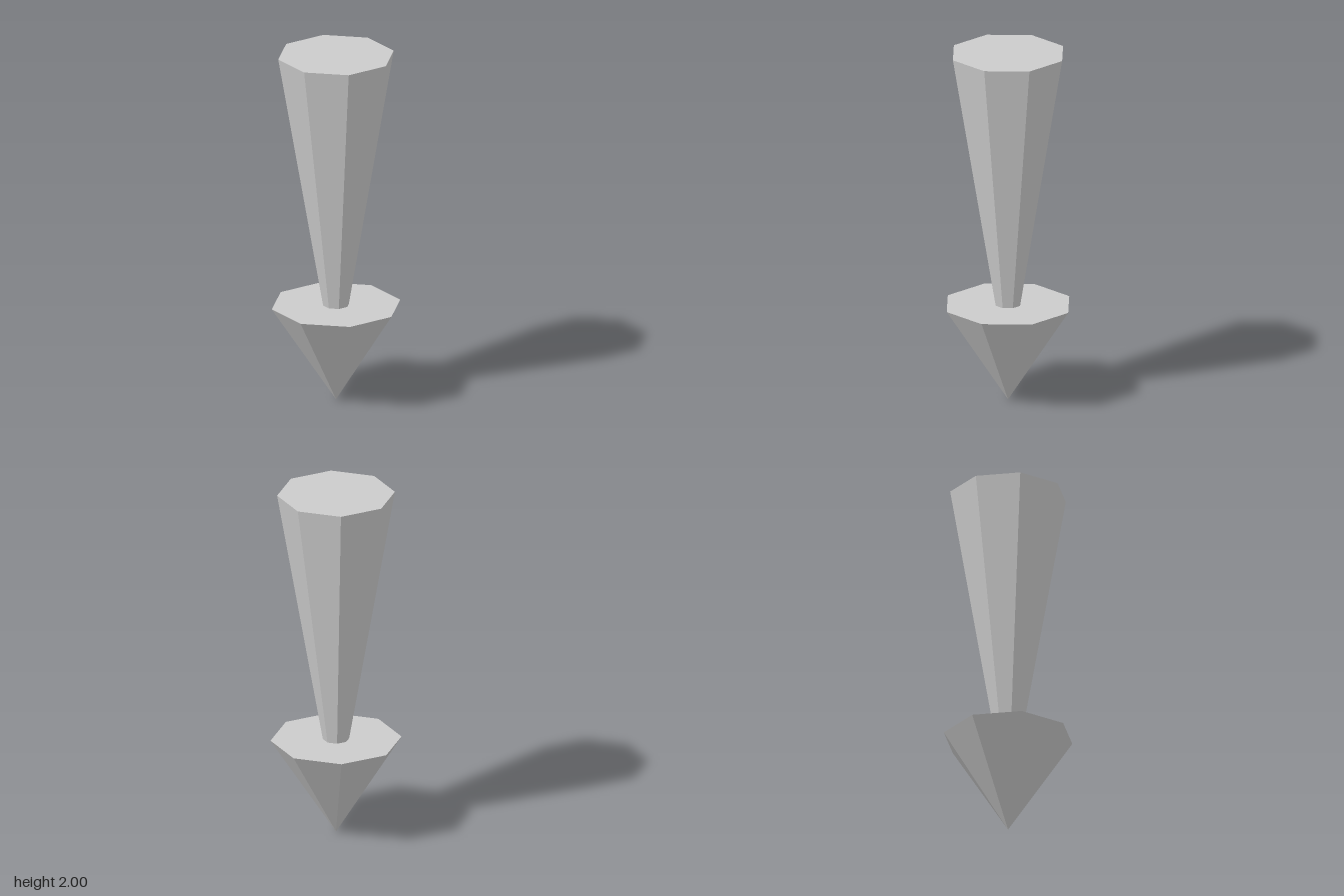
import * as THREE from 'three';

const SIDES = 8;
const HEAD_TOP = 0.55;
const TOP = 2;

export function createModel() {
  const model = new THREE.Group();
  model.name = 'downArrow';
  const material = new THREE.MeshStandardMaterial({ color: 0xcccccc, flatShading: true });

  // Eight-sided tapered solid standing between two heights
  const addTaper = (name, topRadius, bottomRadius, y0, y1) => {
    const geometry = new THREE.CylinderGeometry(topRadius, bottomRadius, y1 - y0, SIDES);
    const mesh = new THREE.Mesh(geometry, material);
    mesh.name = name;
    mesh.position.y = (y0 + y1) / 2;
    model.add(mesh);
  };

  // Pointed head, tip on the ground
  addTaper('arrowHead', 0.358, 0, 0, HEAD_TOP);
  // Shaft widening upwards from the head
  addTaper('shaft', 0.322, 0.072, HEAD_TOP, TOP);

  return model;
}
